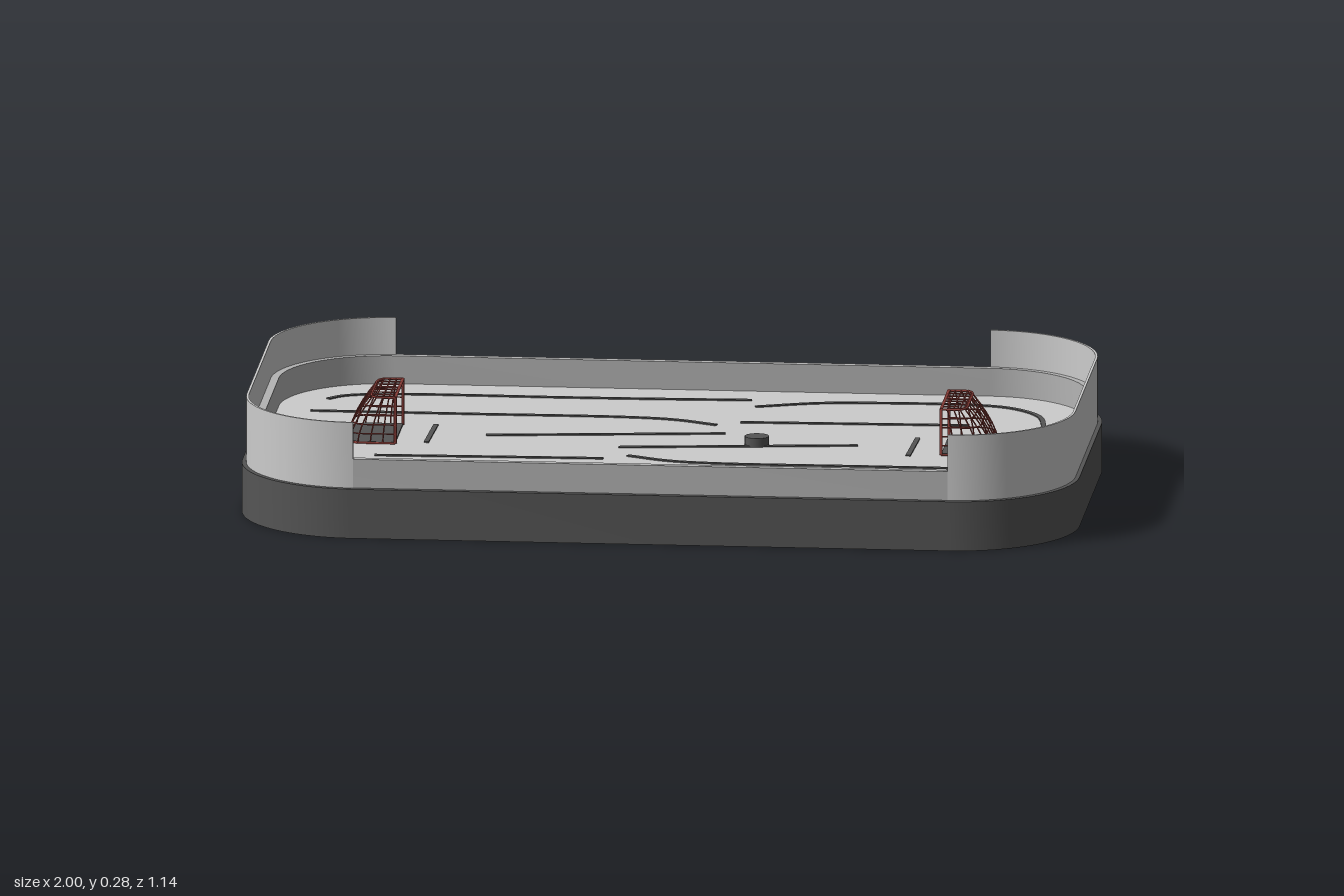
import * as THREE from 'three';
import { toCreasedNormals } from 'three/addons/utils/BufferGeometryUtils.js';

const mat = (name, color, side = THREE.FrontSide) => {
  const m = new THREE.MeshStandardMaterial({ color, side });
  m.name = name;
  return m;
};

const ICE = 0.12; // height of the playing surface

// Rounded rectangle given by half sizes and corner radius
function roundedRect(Type, hx, hz, r) {
  const s = new Type();
  s.moveTo(hx, -hz + r);
  s.lineTo(hx, hz - r);
  s.absarc(hx - r, hz - r, r, 0, Math.PI / 2);
  s.lineTo(-hx + r, hz);
  s.absarc(-hx + r, hz - r, r, Math.PI / 2, Math.PI);
  s.lineTo(-hx, -hz + r);
  s.absarc(-hx + r, -hz + r, r, Math.PI, Math.PI * 1.5);
  s.lineTo(hx - r, -hz);
  s.absarc(hx - r, -hz + r, r, Math.PI * 1.5, Math.PI * 2);
  return s;
}

// Extrude a plan shape upward from y0 to y1
function slab(name, shape, y0, y1, material) {
  const g = new THREE.ExtrudeGeometry(shape, { depth: y1 - y0, bevelEnabled: false, curveSegments: 18 });
  g.rotateX(-Math.PI / 2).translate(0, y0, 0);
  const mesh = new THREE.Mesh(toCreasedNormals(g, 0.5), material);
  mesh.name = name;
  return mesh;
}

// C-shaped plan of a raised end board, on the +x end
function endShape(hx, hz, r, t) {
  const s = new THREE.Shape(), cx = hx - r, cz = hz - r;
  s.moveTo(cx, -hz);
  s.absarc(cx, -cz, r, -Math.PI / 2, 0);
  s.absarc(cx, cz, r, 0, Math.PI / 2);
  s.lineTo(cx, hz - t);
  s.absarc(cx, cz, r - t, Math.PI / 2, 0, true);
  s.absarc(cx, -cz, r - t, 0, -Math.PI / 2, true);
  s.closePath();
  return s;
}

// Flat strip following a curve on the ice
function slot(points, material) {
  const curve = new THREE.CatmullRomCurve3(points.map(([x, z]) => new THREE.Vector3(x, 0, z)), false, 'centripetal');
  const n = points.length > 2 ? 40 : 1, left = [], right = [];
  for (let i = 0; i <= n; i++) {
    const p = curve.getPoint(i / n), t = curve.getTangent(i / n);
    left.push(new THREE.Vector2(p.x + t.z * 0.006, -p.z + t.x * 0.006));
    right.unshift(new THREE.Vector2(p.x - t.z * 0.006, -p.z - t.x * 0.006));
  }
  return slab('playerSlot', new THREE.Shape([...left, ...right]), ICE + 0.002, ICE + 0.005, material);
}

// Straight wire between two points
function wire(a, b, radius, material) {
  const d = b.clone().sub(a);
  const m = new THREE.Mesh(new THREE.CylinderGeometry(radius, radius, d.length(), 5), material);
  m.position.copy(a).addScaledVector(d, 0.5);
  m.quaternion.setFromUnitVectors(new THREE.Vector3(0, 1, 0), d.normalize());
  m.name = 'netWire';
  return m;
}

// Goal with its mouth at x = 0, net extending towards +x
function makeGoal(red, dark) {
  const goal = new THREE.Group(), H = 0.115, W = 0.1;
  const floorShape = new THREE.Shape([[0, -W], [0.09, -W], [0.12, -0.07], [0.12, 0.07], [0.09, W], [0, W]]
    .map(([x, z]) => new THREE.Vector2(x, z)));
  goal.add(slab('goalFloor', floorShape, 0.003, 0.007, dark));

  // Plan outline of the net at height fraction f
  const half = [[0, 1], [0.25, 1], [0.5, 1], [0.75, 1], [0.92, 0.88], [1, 0.7], [1, 0.42], [1, 0.14]];
  const outline = [...half, ...half.slice().reverse().map(([x, z]) => [x, -z])];
  const ring = f => outline.map(([x, z]) =>
    new THREE.Vector3(x * (0.12 - 0.06 * Math.pow(f, 1.5)), 0.004 + f * (H - 0.004), z * W));
  const levels = [0, 0.2, 0.4, 0.6, 0.8, 1].map(ring);
  levels.forEach((row, k) => row.forEach((p, i) => {
    const rim = k === 0 || k === 5;
    if (i + 1 < row.length) goal.add(wire(p, row[i + 1], rim ? 0.003 : 0.0018, red));
    if (k < 5) goal.add(wire(p, levels[k + 1][i], i % 15 === 0 ? 0.004 : 0.0018, red));
  }));

  // Roof of the net and crossbar
  const top = levels[5], n = top.length;
  for (let i = 0; i < 5; i++)
    goal.add(wire(top[i], top[n - 1 - i], i ? 0.0018 : 0.004, red));
  for (let i = 5; i < n - 5; i++)
    goal.add(wire(top[i], new THREE.Vector3(0, H, top[i].z), 0.0018, red));
  return goal;
}

export function createModel() {
  const model = new THREE.Group();
  model.name = 'tableHockeyGame';
  const dark = mat('darkGrey', 0x555555);
  const iceMat = mat('iceGrey', 0xcccccc);
  const boardMat = mat('boardGrey', 0xb4b4b4);
  const shieldMat = mat('shieldGrey', 0xcccccc);
  const red = mat('netRed', 0x96433d);

  // Base and ice
  model.add(slab('base', roundedRect(THREE.Shape, 1, 0.57, 0.29), 0, ICE, dark));
  model.add(slab('ice', roundedRect(THREE.Shape, 0.97, 0.542, 0.262), ICE - 0.004, ICE + 0.002, iceMat));

  // Low board all round
  const board = roundedRect(THREE.Shape, 0.985, 0.555, 0.275);
  board.holes.push(roundedRect(THREE.Path, 0.965, 0.537, 0.256));
  model.add(slab('lowBoard', board, ICE, 0.19, boardMat));

  // Raised shields round both ends
  for (const a of [0, Math.PI]) {
    const shield = slab('endShield', endShape(0.99, 0.557, 0.28, 0.006), ICE, 0.28, shieldMat);
    shield.rotation.y = a;
    model.add(shield);
  }

  // Player slots, repeated by half a turn
  const slots = [
    [[-0.855, -0.36], [-0.82, -0.395], [-0.73, -0.42], [-0.3, -0.425], [-0.12, -0.428], [0.15, -0.438]],
    [[0.165, -0.37], [0.31, -0.42], [0.42, -0.433], [0.68, -0.435], [0.77, -0.41], [0.84, -0.34],
      [0.865, -0.24], [0.867, 0.075]],
    [[-0.885, -0.232], [-0.5, -0.232], [-0.12, -0.232], [-0.01, -0.215], [0.09, -0.17]],
    [[0.145, -0.204], [0.69, -0.22]],
    [[-0.445, -0.014], [0.12, -0.083]],
    [[-0.574, -0.11], [-0.58, 0.075]],
  ];
  for (const s of [1, -1])
    for (const pts of slots) model.add(slot(pts.map(([x, z]) => [x * s, z * s]), dark));

  // Goals
  for (const [name, s] of [['leftGoal', 1], ['rightGoal', -1]]) {
    const goal = makeGoal(red, dark);
    goal.name = name;
    goal.position.set(0.652 * s, ICE, -0.003);
    goal.rotation.y = s > 0 ? 0 : Math.PI;
    model.add(goal);
  }

  // Puck
  const puck = new THREE.Mesh(new THREE.CylinderGeometry(0.029, 0.029, 0.022, 24), dark);
  puck.name = 'puck';
  puck.position.set(0.205, ICE + 0.013, 0.025);
  model.add(puck);
  return model;
}
